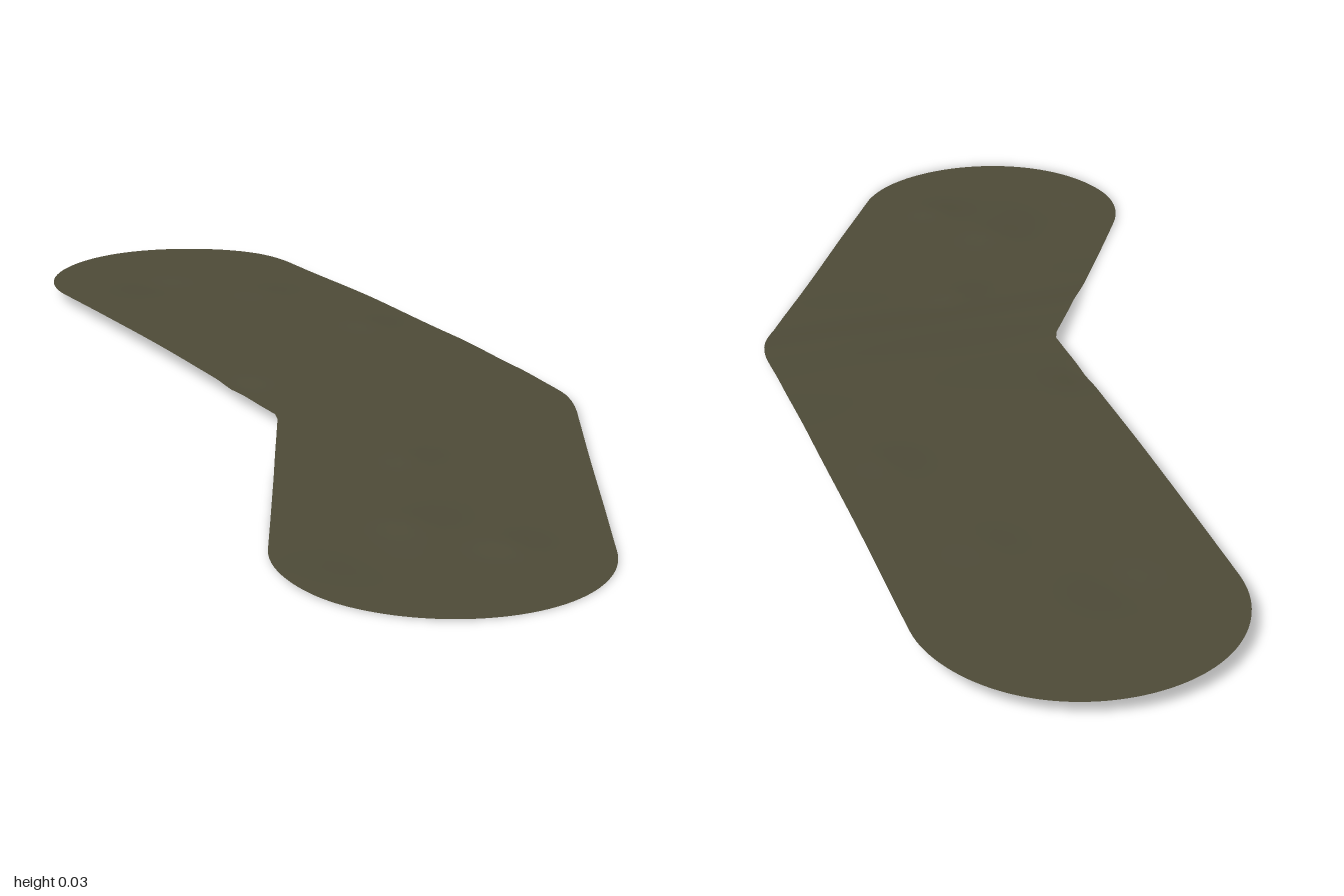
import * as THREE from 'three';

const R = 0.256; // half width of the path
// centre line in plan: [x, z]
const LINE = [[0.19, -0.744], [0.155, 0.2], [-0.19, 0.744]];
// height along z, from back to front: [z, y]
const HEIGHTS = [
  [-1, 0.024], [-0.8, 0.027], [-0.4, 0.031], [-0.1, 0.029], [0.1, 0.024],
  [0.25, 0.017], [0.36, 0.006], [0.5, 0.004], [0.7, 0.006], [0.85, 0.004], [1, 0.003],
];
// small bumps and hollows: [x, z, radius, height]
const BUMPS = [
  [0, 0.38, 0.05, 0.004], [-0.16, 0.63, 0.07, 0.004], [-0.09, 0.78, 0.06, 0.004],
  [-0.3, 0.72, 0.1, -0.002], [-0.08, -0.05, 0.05, -0.004], [0.33, -0.25, 0.06, 0.003],
  [0.12, -0.72, 0.08, -0.003], [0.27, -0.55, 0.07, 0.002],
];

// left and right edges of the rounded strip at a given z
function edges(z) {
  let left = Infinity, right = -Infinity;
  for (let s = 0; s < LINE.length - 1; s++) {
    for (let k = 0; k <= 200; k++) {
      const t = k / 200;
      const cx = THREE.MathUtils.lerp(LINE[s][0], LINE[s + 1][0], t);
      const dz = z - THREE.MathUtils.lerp(LINE[s][1], LINE[s + 1][1], t);
      const h2 = R * R - dz * dz;
      if (h2 < -1e-9) continue;
      const half = Math.sqrt(Math.max(h2, 0));
      left = Math.min(left, cx - half);
      right = Math.max(right, cx + half);
    }
  }
  return [left, right];
}

// gently uneven ground height
function height(x, z) {
  let i = 0;
  while (i < HEIGHTS.length - 2 && z > HEIGHTS[i + 1][0]) i++;
  const [z0, y0] = HEIGHTS[i], [z1, y1] = HEIGHTS[i + 1];
  let y = y0 + (y1 - y0) * THREE.MathUtils.smoothstep(z, z0, z1);
  y += 0.0008 * Math.sin(9 * x + 5 * z) * Math.cos(11 * z - 4 * x);
  for (const [bx, bz, r, h] of BUMPS) {
    y += h * Math.exp(-((x - bx) ** 2 + (z - bz) ** 2) / (r * r * 0.5));
  }
  return Math.max(y, 0);
}

export function createModel() {
  const earth = new THREE.MeshStandardMaterial({ color: 0x4e4b38, side: THREE.DoubleSide });
  earth.name = 'olive earth';

  // a flat grid fitted to the outline, rows packed closer at the round ends
  const cols = 28, rows = 140;
  const geo = new THREE.PlaneGeometry(2, 2, cols, rows).rotateX(-Math.PI / 2);
  const pos = geo.attributes.position;
  for (let j = 0; j <= rows; j++) {
    const z = 0.99999 * Math.sin((j / rows - 0.5) * Math.PI);
    const [left, right] = edges(z);
    for (let i = 0; i <= cols; i++) {
      const x = THREE.MathUtils.lerp(left, right, i / cols);
      pos.setXYZ(j * (cols + 1) + i, x, height(x, z), z);
    }
  }
  geo.computeVertexNormals();

  const path = new THREE.Mesh(geo, earth);
  path.name = 'bentPath';
  const group = new THREE.Group();
  group.name = 'groundPath';
  group.add(path);
  return group;
}
